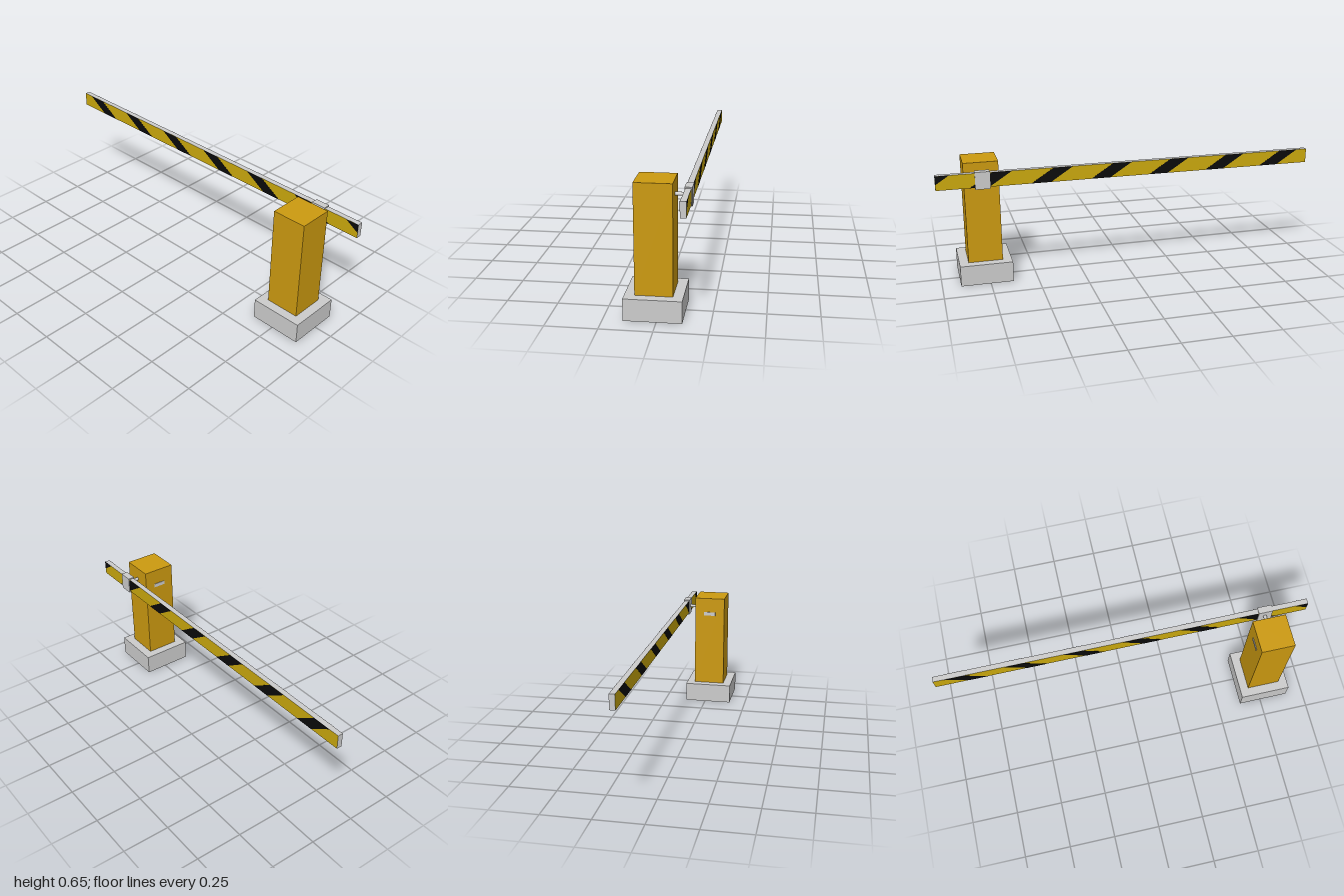
import * as THREE from 'three';

const material = (name, color) => {
  const m = new THREE.MeshStandardMaterial({ color });
  m.name = name;
  return m;
};

export function createModel() {
  const group = new THREE.Group();
  const grey = material('lightGrey', 0xcccccc);
  const orange = material('amber', 0xcc9a10);
  const yellow = material('yellow', 0xcba90d);
  const black = material('black', 0x0a0a0a);

  const add = (name, geometry, mat) => {
    const mesh = new THREE.Mesh(geometry, mat);
    mesh.name = name;
    group.add(mesh);
    return mesh;
  };
  // Box given by its bounds on each axis
  const box = (name, [x0, x1], [y0, y1], [z0, z1], mat) =>
    add(name, new THREE.BoxGeometry(x1 - x0, y1 - y0, z1 - z0), mat)
      .position.set((x0 + x1) / 2, (y0 + y1) / 2, (z0 + z1) / 2);

  // Plinth, post and the small plate on the back of the post
  box('base', [-0.155, 0.12], [0, 0.109], [0.63, 0.904], grey);
  box('post', [-0.107, 0.072], [0.109, 0.648], [0.677, 0.856], orange);
  box('backPlate', [-0.052, 0.017], [0.542, 0.563], [0.674, 0.678], grey);

  // Pivot shaft and the clamp holding the arm
  const shaft = new THREE.CylinderGeometry(0.009, 0.009, 0.06, 24).rotateZ(Math.PI / 2);
  add('pivotShaft', shaft, grey).position.set(0.095, 0.577, 0.767);
  box('armClamp', [0.118, 0.154], [0.53, 0.62], [0.73, 0.805], grey);

  // Arm: yellow on its two broad sides, grey on edges and ends
  const bottom = 0.539, top = 0.614, left = 0.1215, right = 0.1495;
  box('arm', [left, right], [bottom, top], [-1, 1], [yellow, yellow, grey, grey, grey, grey]);

  // Slanted black stripes, visible on both broad sides
  const run = 0.115, width = 0.1, pitch = 0.312, inset = 0.0004;
  const lo = bottom + inset, hi = top - inset, end = 1 - inset;
  const stripe = (points) => {
    const shape = new THREE.Shape(points.map(([z, y]) => new THREE.Vector2(z, y)));
    const depth = right - left + 0.002;
    const geometry = new THREE.ExtrudeGeometry(shape, { depth, bevelEnabled: false });
    geometry.translate(0, 0, -depth / 2).rotateY(-Math.PI / 2).translate((left + right) / 2, 0, 0);
    add('armStripe', geometry, black);
  };
  for (let i = 0; i < 6; i++) {
    const z = 0.834 - i * pitch;
    stripe([[z - width, lo], [z, lo], [z - run, hi], [z - width - run, hi]]);
  }
  // Stripe cut off by the short end of the arm
  stripe([[end, lo + 0.4 * (hi - lo)], [end, hi], [0.931, hi]]);

  return group;
}
